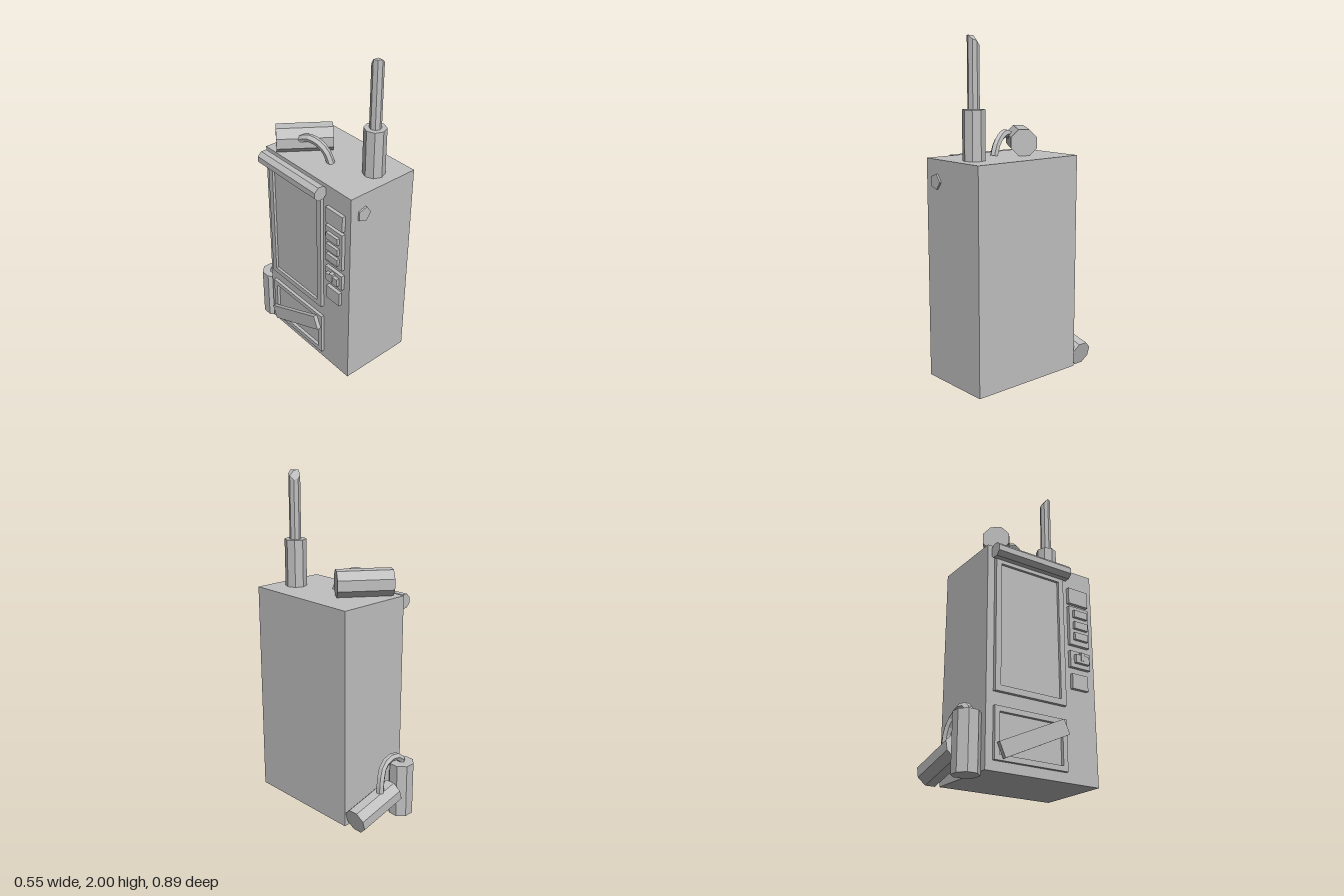
import * as THREE from 'three';

export function createModel() {
  const model = new THREE.Group();
  model.name = 'vendingMachine';
  const grey = new THREE.MeshStandardMaterial({ color: 0xc0c0c0, flatShading: true });
  grey.name = 'plain grey';

  const add = (name, geo, x = 0, y = 0, z = 0) => {
    const m = new THREE.Mesh(geo, grey);
    m.name = name;
    m.position.set(x, y, z);
    model.add(m);
    return m;
  };
  const FACE = -0.2; // plane of the machine's working side, facing -x
  // plate standing out from the working side
  const plate = (name, z0, z1, y0, y1, out, base = 0) =>
    add(name, new THREE.BoxGeometry(out - base + 0.004, y1 - y0, z1 - z0),
      FACE - (out + base) / 2 + 0.002, (y0 + y1) / 2, (z0 + z1) / 2);
  // four-sided frame on the working side
  const frame = (name, z0, z1, y0, y1, w, out) => {
    plate(name + 'BackPost', z0, z0 + w, y0, y1, out);
    plate(name + 'FrontPost', z1 - w, z1, y0, y1, out);
    plate(name + 'Sill', z0 + w, z1 - w, y0, y0 + w, out);
    plate(name + 'Header', z0 + w, z1 - w, y1 - w, y1, out);
  };
  // octagonal prism with flats on the axes
  const prism = (apothem, length) => {
    const r = apothem / Math.cos(Math.PI / 8);
    return new THREE.CylinderGeometry(r, r, length, 8).rotateY(Math.PI / 8);
  };
  const tube = (name, pts, r) => {
    const curve = new THREE.CatmullRomCurve3(pts.map(p => new THREE.Vector3(...p)));
    add(name, new THREE.TubeGeometry(curve, 8, r, 6));
  };

  // cabinet
  add('cabinet', new THREE.BoxGeometry(0.465, 1.3, 0.738), 0.0325, 0.675, 0.064);

  // display window with roller bar above
  frame('window', -0.26, 0.21, 0.45, 1.25, 0.035, 0.022);
  plate('windowPane', -0.225, 0.175, 0.485, 1.215, 0.006);
  add('rollerBar', prism(0.042, 0.51).rotateX(Math.PI / 2), -0.237, 1.28, -0.025);

  // control column
  plate('notePlate', 0.25, 0.39, 1.1, 1.2, 0.022);
  plate('buttonPlate', 0.25, 0.39, 0.835, 1.08, 0.022);
  for (const y of [1.03, 0.957, 0.887]) plate('button', 0.275, 0.37, y - 0.022, y + 0.022, 0.04, 0.022);
  plate('coinPlate', 0.25, 0.39, 0.695, 0.795, 0.022);
  plate('coinSlot', 0.275, 0.37, 0.72, 0.77, 0.042, 0.022);
  plate('coinLever', 0.31, 0.335, 0.735, 0.785, 0.046, 0.022);
  plate('returnPlate', 0.26, 0.37, 0.565, 0.655, 0.022);

  // collection tray with its loose, slanted flap
  frame('tray', -0.26, 0.21, 0.08, 0.37, 0.03, 0.02);
  add('trayFlap', new THREE.BoxGeometry(0.025, 0.09, 0.46), -0.235, 0.225, -0.02).rotation.x = -0.43;

  // five-sided stud on the front
  add('frontStud', new THREE.CylinderGeometry(0.046, 0.046, 0.014, 5, 1, false, Math.PI / 2)
    .rotateX(Math.PI / 2), -0.11, 1.2, 0.437);

  // canisters: upright, leaning, and lying on the roof
  add('uprightCanister', prism(0.07, 0.33), -0.135, 0.165, -0.378);
  add('leaningCanister', prism(0.07, 0.32), 0.098, 0.123, -0.378).rotation.z = -Math.PI / 2 - 0.253;
  add('roofCanister', prism(0.076, 0.326).rotateZ(-Math.PI / 2), -0.044, 1.4, -0.143).rotation.y = -0.622;

  // hoses
  tube('lowerHose', [[-0.148, 0.3, -0.37], [-0.145, 0.335, -0.37], [-0.11, 0.368, -0.367],
    [-0.05, 0.377, -0.367], [0.01, 0.35, -0.37], [0.05, 0.28, -0.385], [0.06, 0.2, -0.39]], 0.024);
  tube('roofHose', [[-0.1, 1.42, -0.11], [-0.085, 1.445, -0.06], [-0.06, 1.43, 0],
    [-0.042, 1.385, 0.05], [-0.033, 1.32, 0.078]], 0.024);

  // mast: thick base and slim rod with a slanted tip
  add('mastBase', new THREE.CylinderGeometry(0.064, 0.064, 0.28, 8), 0.075, 1.465, 0.31);
  const r = 0.034;
  const rod = new THREE.CylinderGeometry(r, r, 0.4, 8);
  const p = rod.attributes.position;
  for (let i = 0; i < p.count; i++) {
    if (p.getY(i) < 0) continue;
    const drop = 0.045 * Math.max(0, -p.getZ(i) / r) + 0.03 * Math.max(0, p.getX(i) / r);
    p.setY(i, p.getY(i) - drop);
  }
  add('mastRod', rod, 0.075, 1.8, 0.31);

  return model;
}
